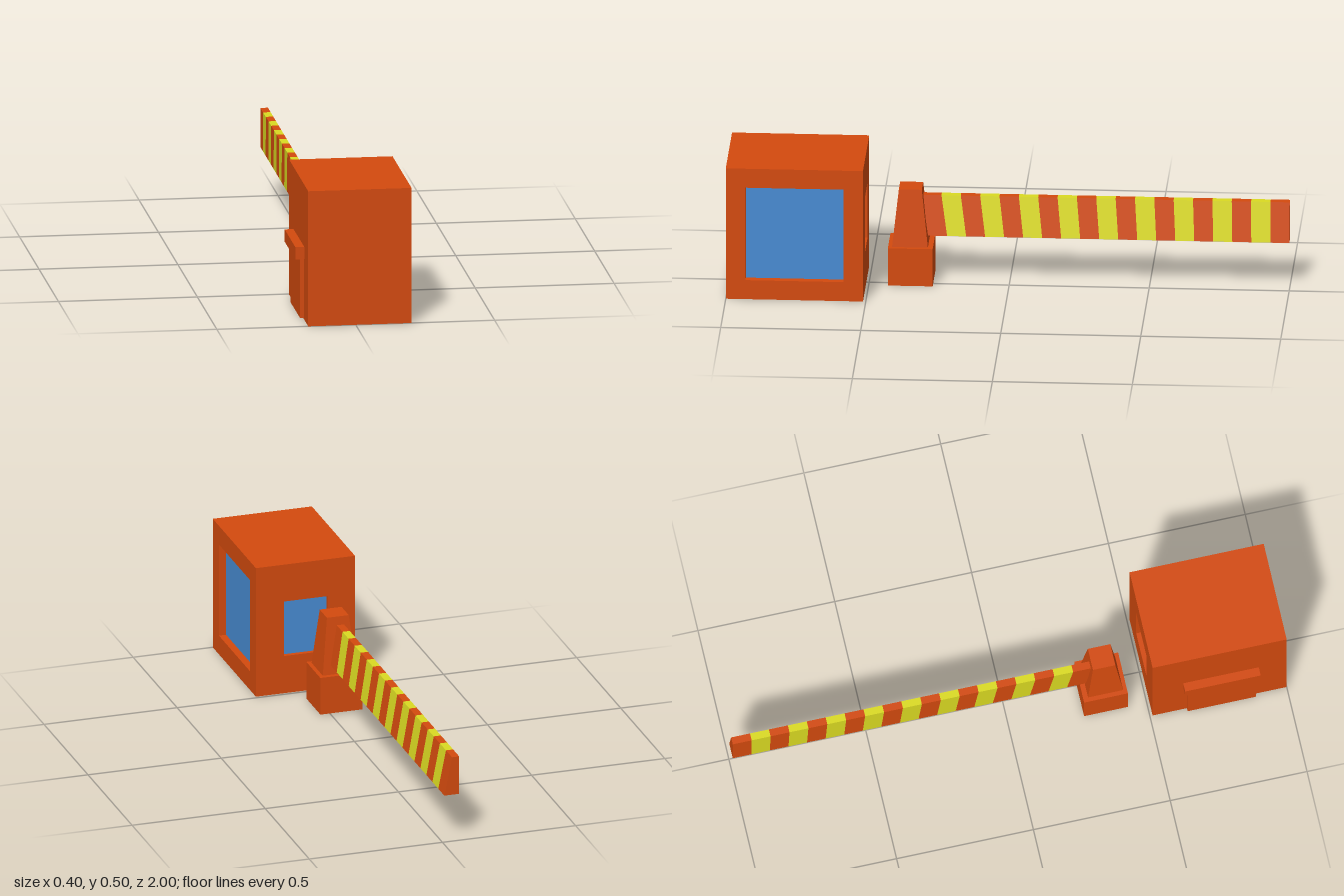
import * as THREE from 'three';

const make = (name, hex) => {
  const m = new THREE.MeshStandardMaterial({ color: hex });
  m.name = name;
  return m;
};

export function createModel() {
  const orange = make('orange paint', 0xd34a0e);
  const yellow = make('yellow paint', 0xdada22);
  const blue = make('blue glass', 0x488bd2);
  const model = new THREE.Group();
  model.name = 'barrierGate';

  const add = (parent, name, geometry, material) => {
    const mesh = new THREE.Mesh(geometry, material);
    mesh.name = name;
    parent.add(mesh);
    return mesh;
  };
  // Box given by its minimum and maximum corners
  const box = (parent, name, a, b, material) => {
    const size = a.map((v, i) => b[i] - v);
    const mesh = add(parent, name, new THREE.BoxGeometry(...size), material);
    mesh.position.set(...a.map((v, i) => (v + b[i]) / 2));
    return mesh;
  };
  const rect = (target, u0, v0, u1, v1) => {
    target.moveTo(u0, v0).lineTo(u1, v0).lineTo(u1, v1).lineTo(u0, v1).closePath();
    return target;
  };
  // Flat wall with one window opening
  const wall = (outer, hole, depth) => {
    const shape = rect(new THREE.Shape(), ...outer);
    shape.holes.push(rect(new THREE.Path(), ...hole));
    return new THREE.ExtrudeGeometry(shape, { depth, bevelEnabled: false });
  };

  // Booth: solid core, with recessed windows on the left and at the back
  const booth = new THREE.Group();
  booth.name = 'booth';
  model.add(booth);
  box(booth, 'boothCore', [-0.171, 0, 0.53], [0.171, 0.495, 1], orange);
  const side = add(booth, 'sideWindowWall', wall([-1, 0, -0.51, 0.495], [-0.93, 0.072, -0.58, 0.423], 0.03), orange);
  side.rotation.y = Math.PI / 2;
  side.position.x = 0.171;
  const back = add(booth, 'backWindowWall', wall([-0.171, 0, 0.171, 0.495], [-0.07, 0.143, 0.095, 0.353], 0.02), orange);
  back.position.z = 0.51;
  box(booth, 'sideWindow', [0.17, 0.072, 0.58], [0.174, 0.423, 0.93], blue);
  box(booth, 'backWindow', [-0.07, 0.143, 0.527], [0.095, 0.353, 0.531], blue);

  // Door panel and the ledge over it
  box(booth, 'doorPanel', [-0.184, 0.003, 0.635], [-0.17, 0.23, 0.885], orange);
  box(booth, 'doorLedge', [-0.203, 0.222, 0.622], [-0.17, 0.267, 0.898], orange);

  // Post: square base under a tapered column
  const post = new THREE.Group();
  post.name = 'post';
  model.add(post);
  box(post, 'postBase', [-0.121, 0.003, 0.271], [0.038, 0.144, 0.431], orange);
  let taper = new THREE.CylinderGeometry(0.041 * Math.SQRT2, 0.064 * Math.SQRT2, 0.211, 4);
  taper.rotateY(Math.PI / 4);
  taper = taper.toNonIndexed();
  taper.computeVertexNormals();
  add(post, 'postColumn', taper, orange).position.set(-0.041, 0.2495, 0.353);

  // Striped arm: wedge section, flat on the right and sloping on the left
  const section = [[-0.063, 0.179], [-0.007, 0.179], [-0.036, 0.323], [-0.063, 0.323]];
  const stripes = 19;
  const slice = (k) => section.map(([x, y]) => [x, y, -1 + (k / stripes) * (y > 0.25 ? 1.313 : 1.29)]);
  const points = [];
  const quad = (a, b, c, d) => points.push(...a, ...b, ...c, ...a, ...c, ...d);
  const arm = new THREE.BufferGeometry();
  for (let k = 0; k < stripes; k++) {
    const start = points.length / 3;
    const b = slice(k), f = slice(k + 1);
    for (let i = 0; i < 4; i++) {
      const j = (i + 1) % 4;
      quad(b[i], b[j], f[j], f[i]);
    }
    if (k === 0) quad(b[3], b[2], b[1], b[0]);
    if (k === stripes - 1) quad(...f);
    arm.addGroup(start, points.length / 3 - start, k % 2);
  }
  arm.setAttribute('position', new THREE.Float32BufferAttribute(points, 3));
  arm.computeVertexNormals();
  add(model, 'stripedArm', arm, [orange, yellow]);

  return model;
}
